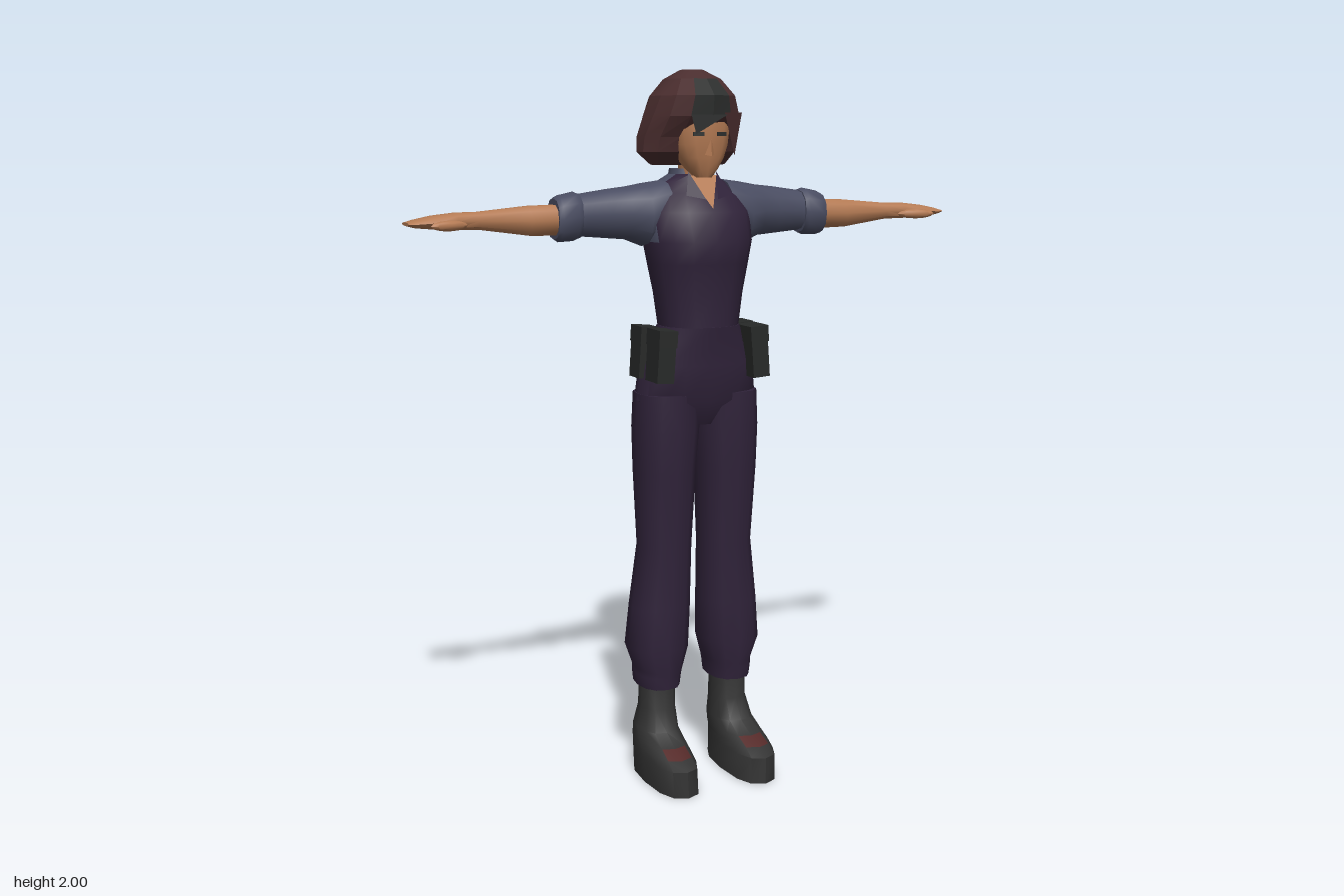
import * as THREE from 'three';
import { toCreasedNormals } from 'three/addons/utils/BufferGeometryUtils.js';

const paint = (name, color) => {
  const m = new THREE.MeshStandardMaterial({ color });
  m.name = name;
  return m;
};

// Closed loft up the y axis. Each ring is [y, x0, x1, z0, z1]; pick(ring, side) chooses a material index.
function loft(rings, n = 12, power = 0.85, pick = () => 0) {
  const pos = [], faces = [];
  const bend = v => Math.sign(v) * Math.abs(v) ** power;
  const add = (k, ...t) => (faces[k] ??= []).push(...t);
  for (const [y, x0, x1, z0, z1] of rings) {
    for (let j = 0; j < n; j++) {
      const a = (j / n) * Math.PI * 2;
      pos.push((x0 + x1) / 2 + (x1 - x0) / 2 * bend(Math.sin(a)), y,
        (z0 + z1) / 2 + (z1 - z0) / 2 * bend(Math.cos(a)));
    }
  }
  const last = rings.length - 1, base = rings.length * n;
  for (const [y, x0, x1, z0, z1] of [rings[0], rings[last]]) pos.push((x0 + x1) / 2, y, (z0 + z1) / 2);
  for (let j = 0; j < n; j++) {
    const k = (j + 1) % n;
    for (let i = 0; i < last; i++) {
      const a = i * n + j, b = i * n + k;
      add(pick(i, j), a, b, b + n, a, b + n, a + n);
    }
    add(0, base, k, j);
    add(pick(last - 1, j), base + 1, last * n + j, last * n + k);
  }
  const g = new THREE.BufferGeometry();
  g.setAttribute('position', new THREE.Float32BufferAttribute(pos, 3));
  g.setIndex(faces.flat());
  let start = 0;
  faces.forEach((f, k) => { g.addGroup(start, f.length, k); start += f.length; });
  return g;
}

// Loft along +x, rings are [x, y0, y1, z0, z1]
const loftX = (rings, ...rest) =>
  loft(rings.map(([x, y0, y1, z0, z1]) => [x, -y1, -y0, z0, z1]), ...rest).rotateZ(-Math.PI / 2);

// Symmetric ring about x = 0
const sym = rings => rings.map(([y, w, z0, z1]) => [y, -w, w, z0, z1]);

function plate(a, b, c) {
  const g = new THREE.BufferGeometry();
  g.setAttribute('position', new THREE.Float32BufferAttribute([...a, ...b, ...c], 3));
  g.setIndex([0, 1, 2]);
  return g;
}

function mirrored(geo) {
  const g = geo.clone().scale(-1, 1, 1), ix = g.index.array;
  for (let i = 0; i < ix.length; i += 3) [ix[i + 1], ix[i + 2]] = [ix[i + 2], ix[i + 1]];
  return g;
}

export function createModel() {
  const model = new THREE.Group();
  model.name = 'figure';
  const purple = paint('dark purple cloth', 0x30233a);
  const blue = paint('slate blue cloth', 0x4a4d62);
  const skin = paint('skin', 0xb57b54);
  const hair = paint('dark red hair', 0x4b2e2f);
  const dark = paint('charcoal streak', 0x2c2e2d);
  const leather = paint('boot leather', 0x343434);
  const pouch = paint('pouch black', 0x272928);
  const scuff = paint('red scuff', 0x552a29);
  for (const m of [purple, skin, dark]) m.side = THREE.DoubleSide;

  const part = (name, geo, mat, crease = 0.9) => {
    const mesh = new THREE.Mesh(toCreasedNormals(geo, crease), mat);
    mesh.name = name;
    model.add(mesh);
  };
  const pair = (name, geo, mat, crease) => {
    part('left ' + name, geo, mat, crease);
    part('right ' + name, mirrored(geo), mat, crease);
  };

  // Torso: vest with blue shoulder panels and back yoke
  part('vest', loft(sym([
    [1.30, 0.11, -0.105, 0.095], [1.40, 0.125, -0.108, 0.095], [1.48, 0.14, -0.125, 0.108],
    [1.54, 0.15, -0.14, 0.12], [1.62, 0.153, -0.145, 0.088], [1.67, 0.13, -0.14, 0.045],
    [1.70, 0.095, -0.125, 0.015], [1.72, 0.06, -0.115, 0.005],
  ]), 16, 0.85, (i, j) => {
    const m = Math.min(j, 15 - j);
    return (i >= 5 && m >= 3) || (i >= 3 && (m === 3 || m === 4)) ? 1 : 0;
  }), [purple, blue]);
  part('pelvis', loft(sym([
    [1.03, 0.10, -0.10, 0.04], [1.10, 0.178, -0.13, 0.077], [1.20, 0.165, -0.125, 0.082],
    [1.26, 0.135, -0.115, 0.09], [1.308, 0.113, -0.108, 0.098],
  ]), 16), purple);

  // Collar, open neck and neck
  part('collar', loft(sym([
    [1.67, 0.075, -0.12, 0.0], [1.70, 0.062, -0.118, 0.002], [1.735, 0.055, -0.112, -0.01],
  ])), blue);
  part('neck', loft(sym([[1.65, 0.04, -0.09, 0.015], [1.72, 0.038, -0.085, 0.012], [1.80, 0.04, -0.08, 0.01]])), skin);
  part('open neckline', plate([0, 1.63, 0.092], [0.042, 1.718, 0.024], [-0.042, 1.718, 0.024]), skin);
  pair('collar flap', plate([0.018, 1.655, 0.085], [0.066, 1.665, 0.062], [0.042, 1.728, 0.022]), purple);

  // Trouser legs with gathered hems
  pair('trouser leg', loft([
    [0.265, 0.052, 0.172, -0.135, 0.032], [0.30, 0.048, 0.176, -0.138, 0.036],
    [0.315, 0.045, 0.175, -0.138, 0.038], [0.38, 0.026, 0.20, -0.142, 0.045],
    [0.50, 0.022, 0.19, -0.13, 0.046], [0.68, 0.02, 0.168, -0.115, 0.047],
    [0.90, 0.012, 0.178, -0.126, 0.068], [1.02, 0.002, 0.181, -0.13, 0.075],
    [1.12, 0.0, 0.176, -0.128, 0.076],
  ]), purple);

  // Boots, with a worn spot on each toe
  pair('boot', loft([
    [0, 0.056, 0.186, -0.13, 0.192], [0.075, 0.058, 0.188, -0.132, 0.188],
    [0.095, 0.06, 0.185, -0.132, 0.15], [0.113, 0.06, 0.182, -0.13, 0.10],
    [0.14, 0.062, 0.176, -0.125, 0.04], [0.20, 0.065, 0.162, -0.108, 0.014],
    [0.29, 0.065, 0.16, -0.105, 0.01],
  ], 12, 0.8, (i, j) => (i === 2 && (j === 0 || j === 11) ? 1 : 0)), [leather, scuff], 0.8);

  // Sleeves with a torn patch behind the elbow, and rolled cuffs
  pair('sleeve', loftX([
    [0.09, 1.56, 1.705, -0.13, 0.035], [0.15, 1.525, 1.697, -0.143, 0.04],
    [0.20, 1.545, 1.688, -0.13, 0.018], [0.255, 1.55, 1.682, -0.113, 0.005],
    [0.325, 1.556, 1.672, -0.108, -0.002], [0.36, 1.558, 1.668, -0.102, -0.005],
  ], 12, 0.9, (i, j) => (i === 3 && (j === 7 || j === 8) ? 1 : 0)), [blue, skin]);
  pair('cuff', loftX([
    [0.338, 1.55, 1.672, -0.108, 0.002], [0.35, 1.545, 1.677, -0.113, 0.007],
    [0.395, 1.543, 1.668, -0.108, 0.006], [0.406, 1.55, 1.66, -0.1, 0],
  ]), blue);

  // Forearms, flat hands and thumbs
  pair('forearm and hand', loftX([
    [0.39, 1.56, 1.645, -0.088, -0.006], [0.48, 1.562, 1.643, -0.085, -0.006],
    [0.62, 1.582, 1.63, -0.068, -0.02], [0.68, 1.583, 1.629, -0.08, -0.008],
    [0.74, 1.586, 1.622, -0.093, -0.006], [0.79, 1.591, 1.612, -0.09, -0.008],
    [0.81, 1.597, 1.606, -0.082, -0.018],
  ], 10), skin);
  pair('thumb', new THREE.SphereGeometry(1, 8, 6).scale(0.055, 0.014, 0.014)
    .rotateY(-0.25).translate(0.707, 1.597, -0.002), skin);

  // Hip pouches, two on each side, each with a flap
  for (const [name, x, z, depth] of [['front pouch', 0.142, 0.06, 0.082], ['rear pouch', 0.15, -0.04, 0.068]]) {
    const place = g => g.rotateZ(0.07).translate(x, 1.234, z);
    pair(name, place(new THREE.BoxGeometry(0.05, 0.142, depth)), pouch);
    pair(name + ' flap', place(new THREE.BoxGeometry(0.054, 0.045, depth + 0.006).translate(0, 0.05, 0)), pouch);
  }

  // Head
  part('face', loft(sym([
    [1.712, 0.022, 0.0, 0.052], [1.735, 0.042, -0.03, 0.062], [1.765, 0.064, -0.06, 0.068],
    [1.80, 0.078, -0.09, 0.074], [1.85, 0.084, -0.1, 0.079], [1.90, 0.08, -0.1, 0.075],
  ]), 14, 0.8), skin);
  part('nose', new THREE.ConeGeometry(0.014, 0.045, 4).rotateX(0.25).translate(0, 1.795, 0.074), skin);
  pair('eye', new THREE.BoxGeometry(0.03, 0.01, 0.008).rotateY(0.25).translate(0.034, 1.828, 0.07), dark);

  // Faceted bob with a dark streak and fringe
  part('hair', loft([
    [1.745, -0.112, 0.108, -0.12, -0.015], [1.78, -0.15, 0.135, -0.162, 0.028],
    [1.82, -0.146, 0.138, -0.185, 0.045], [1.875, -0.132, 0.13, -0.195, 0.094],
    [1.93, -0.112, 0.108, -0.183, 0.102], [1.975, -0.075, 0.075, -0.14, 0.05],
    [2.0, -0.03, 0.03, -0.085, -0.01],
  ], 14, 0.95, (i, j) => (i >= 3 && i <= 4 && (j === 0 || j === 13) ? 1 : 0)), [hair, dark], 0.3);
  part('fringe', plate([-0.062, 1.88, 0.086], [-0.048, 1.828, 0.086], [0.04, 1.88, 0.1]), dark);
  part('side lock', plate([0.03, 1.885, 0.1], [0.078, 1.77, 0.062], [0.1, 1.885, 0.062]),
    hair);

  return model;
}
